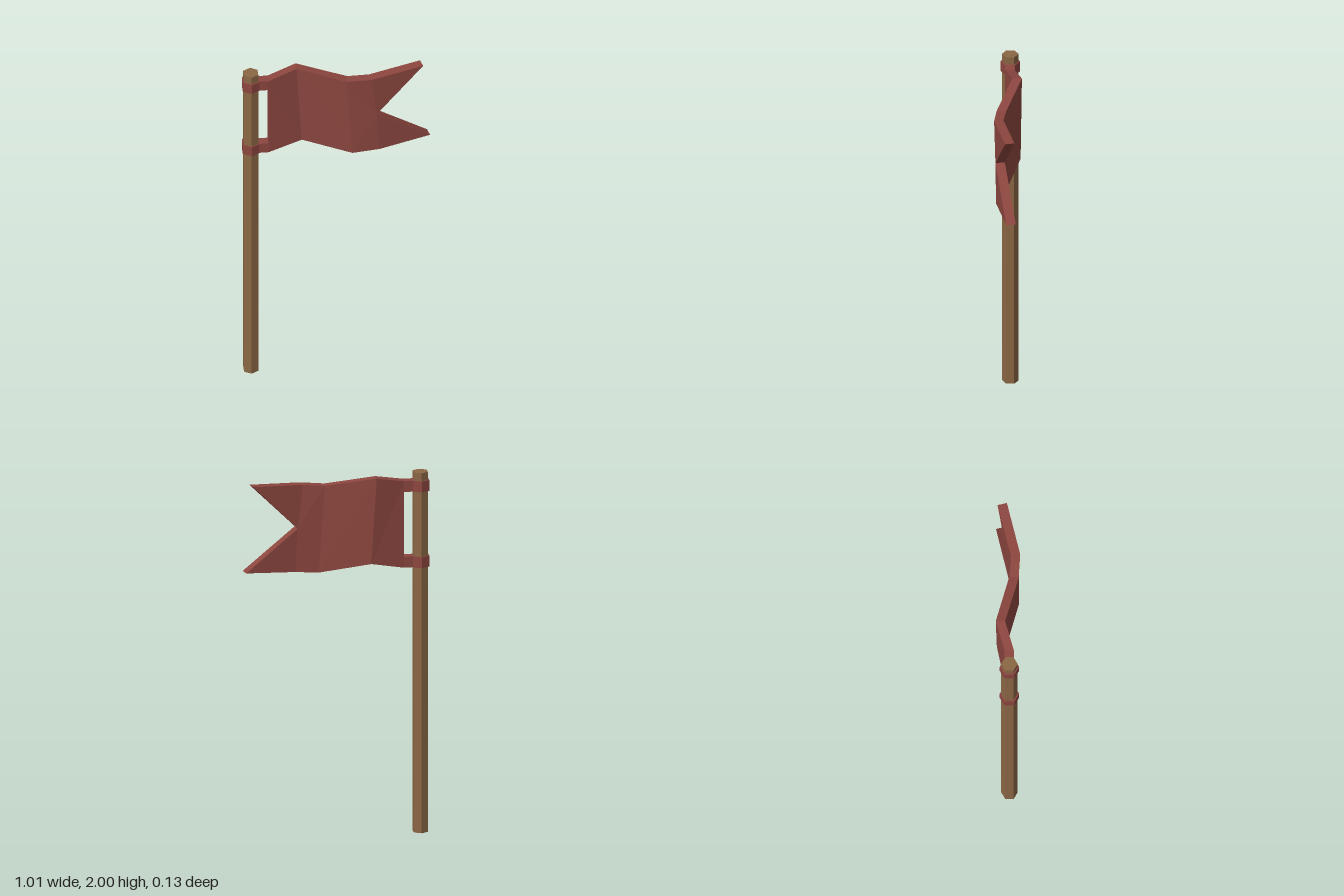
import * as THREE from 'three';

const WOOD = 0x8b6745, CLOTH = 0x8c463f;
const POLE_X = -0.46, HALF = 0.025;

function mesh(geometry, color, name) {
  const material = new THREE.MeshStandardMaterial({ color, flatShading: true });
  const m = new THREE.Mesh(geometry, material);
  m.name = name;
  return m;
}

// Thick swallow-tailed cloth: outline points (x, y, z, x-lean of the thickness)
function flagGeometry() {
  const outline = [
    [-0.367, 1.955, 0, 0],         // 0 top hoist
    [-0.213, 1.99, -0.045, 0],     // 1 first fold
    [0.052, 1.94, 0.03, -0.004],   // 2 second fold
    [0.175, 1.95, 0.04, 0.004],    // 3 third fold
    [0.458, 1.97, -0.028, 0.006],  // 4 upper tail tip
    [0.205, 1.71, 0.032, 0.004],   // 5 notch
    [0.496, 1.495, -0.036, 0.006], // 6 lower tail tip
    [0.22, 1.471, 0.028, 0.004],   // 7 third fold
    [0.083, 1.46, 0.033, -0.004],  // 8 second fold
    [-0.185, 1.515, -0.039, 0],    // 9 first fold
    [-0.367, 1.475, 0, 0],         // 10 bottom hoist
  ];
  const front = outline.map(([x, y, z, l]) => [x + l, y, z + HALF]);
  const back = outline.map(([x, y, z, l]) => [x - l, y, z - HALF]);
  const pos = [];
  const tri = (a, b, c) => pos.push(...a, ...b, ...c);

  // Front and back panels between the folds
  const panels = [
    [0, 10, 9], [0, 9, 1], [1, 9, 8], [1, 8, 2],
    [2, 8, 5], [8, 7, 5], [2, 5, 3], [3, 5, 4], [5, 7, 6],
  ];
  for (const [a, b, c] of panels) {
    tri(front[a], front[b], front[c]);
    tri(back[a], back[c], back[b]);
  }
  // Rim around the edge
  outline.forEach((_, i) => {
    const j = (i + 1) % outline.length;
    tri(front[i], front[j], back[j]);
    tri(front[i], back[j], back[i]);
  });
  const g = new THREE.BufferGeometry();
  g.setAttribute('position', new THREE.Float32BufferAttribute(pos, 3));
  g.computeVertexNormals();
  return g;
}

export function createModel() {
  const group = new THREE.Group();
  group.name = 'flagOnPole';

  // Six-sided pole
  const pole = mesh(new THREE.CylinderGeometry(0.044, 0.044, 2, 6), WOOD, 'pole');
  pole.position.set(POLE_X, 1, 0);
  group.add(pole);

  group.add(mesh(flagGeometry(), CLOTH, 'flag'));

  // Bands around the pole, each with a short strap to the cloth
  for (const [name, y] of [['upperTie', 1.925], ['lowerTie', 1.505]]) {
    const tie = new THREE.Group();
    tie.name = name;
    const band = mesh(new THREE.CylinderGeometry(0.052, 0.052, 0.06, 6), CLOTH, 'band');
    band.position.set(POLE_X, y, 0);
    const strap = mesh(new THREE.BoxGeometry(0.063, 0.06, 2 * HALF), CLOTH, 'strap');
    strap.position.set(-0.3985, y, 0);
    tie.add(band, strap);
    group.add(tie);
  }
  return group;
}
